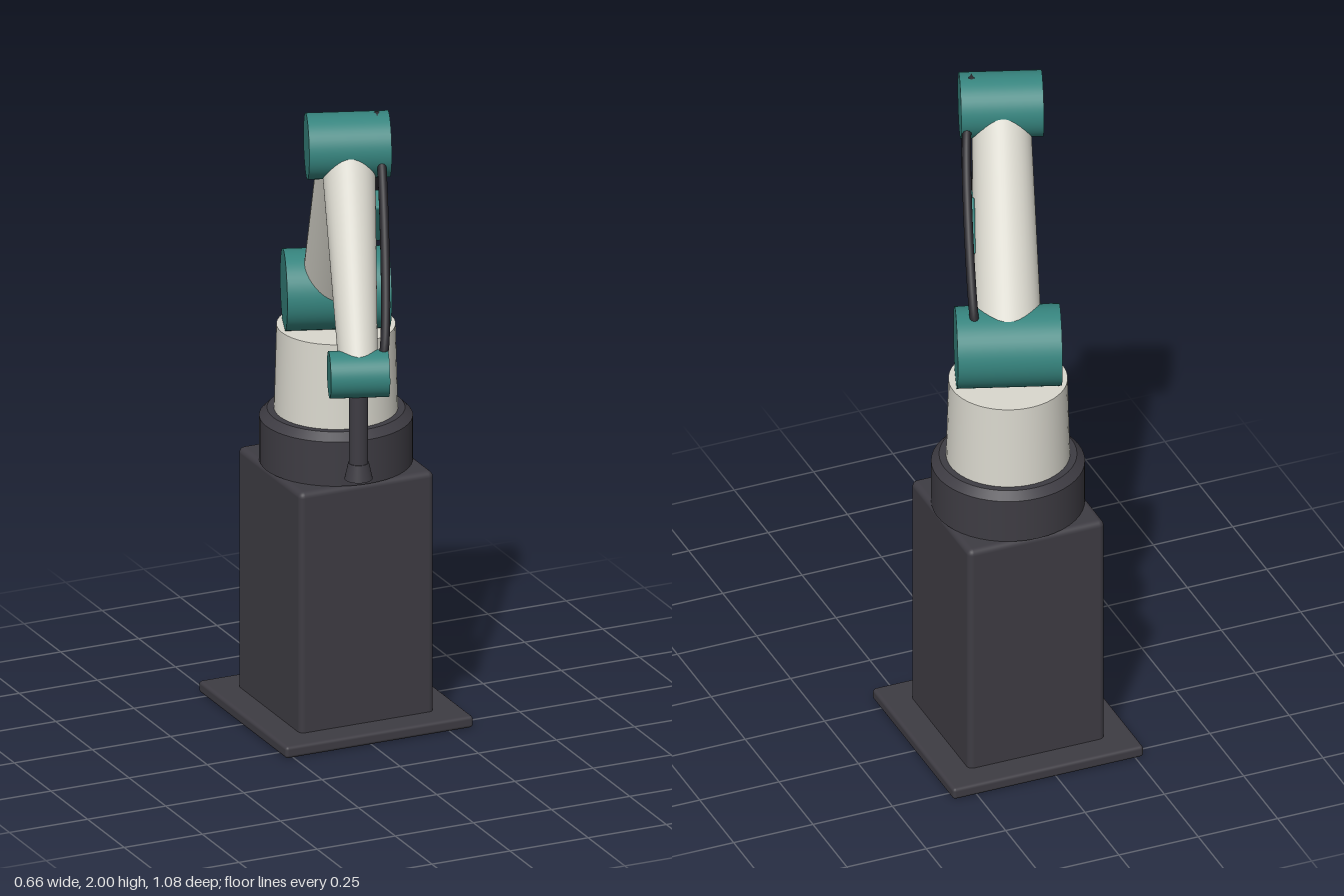
import * as THREE from 'three';
import { RoundedBoxGeometry } from 'three/addons/geometries/RoundedBoxGeometry.js';

const mat = (name, color) => {
  const m = new THREE.MeshStandardMaterial({ color });
  m.name = name;
  return m;
};

export function createModel() {
  const charcoal = mat('charcoal', 0x3e3c43);
  const ivory = mat('ivory', 0xdad8ce);
  const teal = mat('teal', 0x36847e);
  const black = mat('cableBlack', 0x29282d);

  const model = new THREE.Group();
  model.name = 'robotArm';

  const add = (parent, name, geometry, material, x = 0, y = 0, z = 0) => {
    const mesh = new THREE.Mesh(geometry, material);
    mesh.name = name;
    mesh.position.set(x, y, z);
    parent.add(mesh);
    return mesh;
  };

  // Everything stands on the pedestal axis
  const machine = new THREE.Group();
  machine.name = 'machine';
  machine.position.set(0.025, 0, -0.241);
  model.add(machine);

  // Floor plate and square pedestal
  add(machine, 'floorPlate', new RoundedBoxGeometry(0.6, 0.036, 0.6, 3, 0.01), charcoal, 0, 0.018, 0);
  add(machine, 'pedestal', new RoundedBoxGeometry(0.43, 0.76, 0.43, 3, 0.018), charcoal, 0, 0.4, 0);

  // Chamfered slewing ring
  add(machine, 'ringWall', new THREE.CylinderGeometry(0.223, 0.223, 0.137, 48), charcoal, 0, 0.8485, 0);
  add(machine, 'ringChamfer', new THREE.CylinderGeometry(0.2, 0.223, 0.023, 48), charcoal, 0, 0.9285, 0);

  // Everything above the ring is turned about the vertical axis
  const arm = new THREE.Group();
  arm.name = 'arm';
  arm.rotation.y = -THREE.MathUtils.degToRad(20);
  machine.add(arm);

  add(arm, 'turret', new THREE.CylinderGeometry(0.173, 0.18, 0.262, 48), ivory, 0, 1.069, 0);

  // Joint drums lie across the arm
  const shoulder = new THREE.Vector3(0, 1.31, 0);
  const elbow = new THREE.Vector3(0, 1.9, 0.378);
  const wrist = new THREE.Vector3(0, 1.325, 0.733);
  const drum = (name, p, radius, length) => {
    const g = new THREE.CylinderGeometry(radius, radius, length, 48).rotateZ(Math.PI / 2);
    add(arm, name, g, teal, p.x, p.y, p.z);
  };
  drum('shoulderJoint', shoulder, 0.12, 0.304);
  drum('elbowJoint', elbow, 0.097, 0.24);
  drum('wristJoint', wrist, 0.069, 0.172);

  // Tapered links between the joints
  const up = new THREE.Vector3(0, 1, 0);
  const link = (name, from, to, r0, r1) => {
    const dir = to.clone().sub(from);
    const mid = from.clone().add(to).multiplyScalar(0.5);
    const mesh = add(arm, name, new THREE.CylinderGeometry(r1, r0, dir.length(), 40), ivory, mid.x, mid.y, mid.z);
    mesh.quaternion.setFromUnitVectors(up, dir.normalize());
    return mesh;
  };
  const upperArm = link('upperArm', shoulder, elbow, 0.1, 0.085);
  link('forearm', elbow, wrist, 0.08, 0.056);

  // Cover plate on the side of the upper arm
  add(upperArm, 'coverPlate', new RoundedBoxGeometry(0.03, 0.165, 0.07, 3, 0.008), teal, 0.1, 0, 0);

  // Cable from shoulder over the elbow to the wrist
  const route = [
    [0.085, 1.33, -0.03], [0.1, 1.43, -0.024], [0.105, 1.84, 0.282], [0.085, 1.987, 0.378],
    [0.092, 1.85, 0.47], [0.076, 1.4, 0.724], [0.062, 1.335, 0.733],
  ].map((p) => new THREE.Vector3(...p));
  add(arm, 'cable', new THREE.TubeGeometry(new THREE.CatmullRomCurve3(route), 96, 0.014, 10), black);

  // Tool hanging from the wrist
  add(arm, 'toolShaft', new THREE.CylinderGeometry(0.028, 0.028, 0.26, 32), charcoal, wrist.x, 1.175, wrist.z);
  add(arm, 'toolTip', new THREE.CylinderGeometry(0.03, 0.041, 0.05, 32), charcoal, wrist.x, 1.026, wrist.z);

  return model;
}
